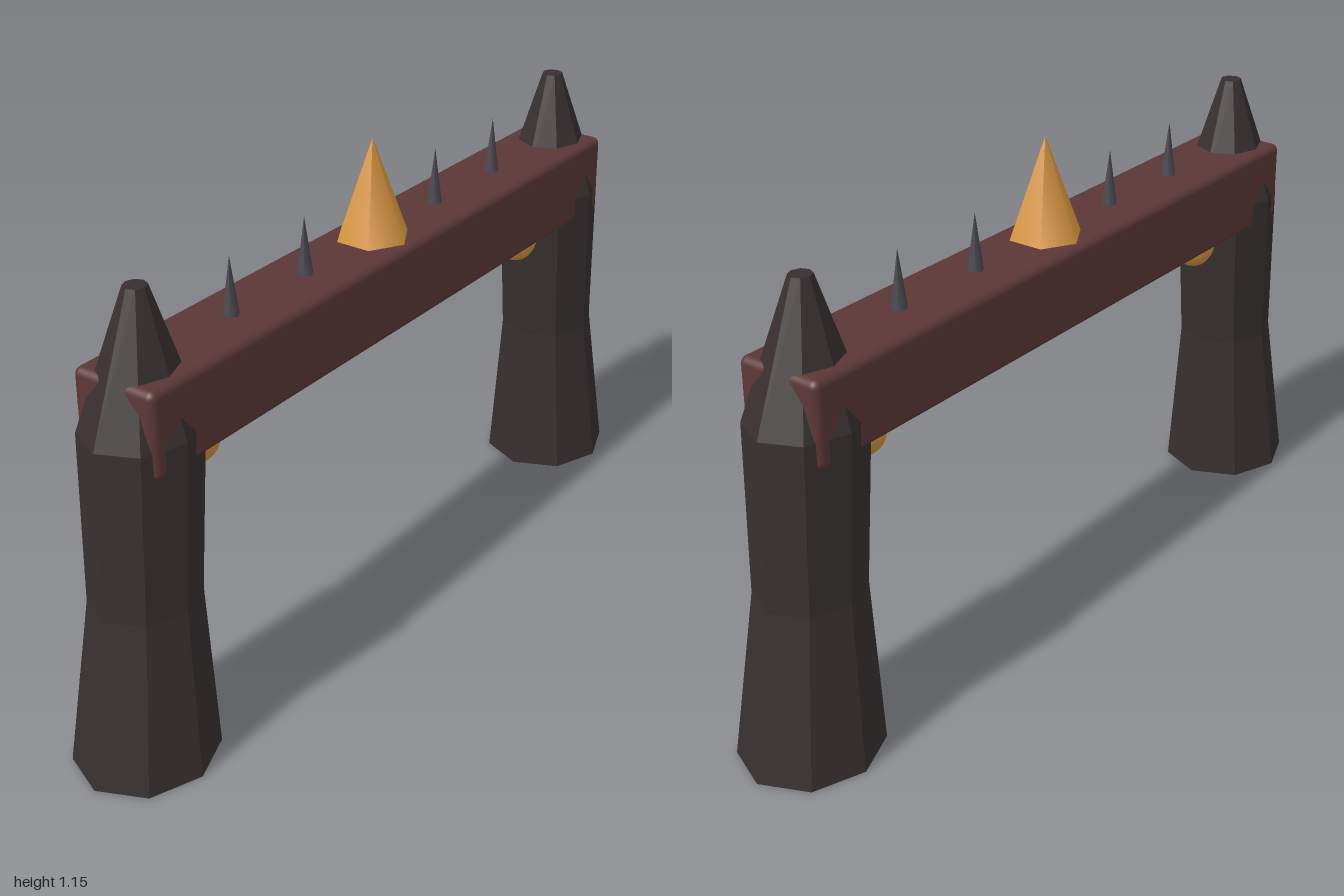
import * as THREE from 'three';
import { RoundedBoxGeometry } from 'three/addons/geometries/RoundedBoxGeometry.js';

const material = (name, color) => {
  const m = new THREE.MeshStandardMaterial({ color });
  m.name = name;
  return m;
};

// Post cross-sections: height, centre x, x radius, z radius
const postRings = [
  [0, 0.833, 0.167, 0.155],
  [0.39, 0.807, 0.126, 0.116],
  [0.78, 0.787, 0.137, 0.122],
  [1.085, 0.778, 0.026, 0.025],
];

// Octagonal leaning post with a tapered point and faceted sides
function postGeometry(side) {
  const geo = new THREE.CylinderGeometry(1, 1, 1, 8, 3);
  const p = geo.attributes.position;
  for (let i = 0; i < p.count; i++) {
    const [y, cx, rx, rz] = postRings[Math.round((p.getY(i) + 0.5) * 3)];
    p.setXYZ(i, side * cx + p.getX(i) * rx, y, p.getZ(i) * rz);
  }
  const flat = geo.toNonIndexed();
  flat.computeVertexNormals();
  return flat;
}

export function createModel() {
  const group = new THREE.Group();
  const charred = material('charredWood', 0x383030);
  const maroon = material('maroonBeam', 0x5c3737);
  const gold = material('gold', 0xd9963f);
  const iron = material('iron', 0x4a4a50);

  const add = (name, geo, mat, x = 0, y = 0, z = 0) => {
    const mesh = new THREE.Mesh(geo, mat);
    mesh.name = name;
    mesh.position.set(x, y, z);
    group.add(mesh);
    return mesh;
  };

  // Crossbeam with softened edges
  add('crossbeam', new RoundedBoxGeometry(1.724, 0.197, 0.21, 3, 0.018), maroon, 0, 0.8135);

  // Central horn
  add('centreHorn', new THREE.ConeGeometry(0.088, 0.237, 6), gold, 0, 1.0285);

  for (const side of [-1, 1]) {
    const label = side > 0 ? 'left' : 'right';
    add(label + 'Post', postGeometry(side), charred);

    // Hanging lantern in the inner corner
    const lantern = add(label + 'Lantern', new THREE.SphereGeometry(0.055, 16, 12), gold, side * 0.63, 0.69);
    lantern.scale.y = 1.18;

    // Small spikes along the top
    for (const x of [0.25, 0.5]) {
      add(label + 'Spike', new THREE.ConeGeometry(0.02, 0.14, 6), iron, side * x, 0.975);
    }
  }
  return group;
}
